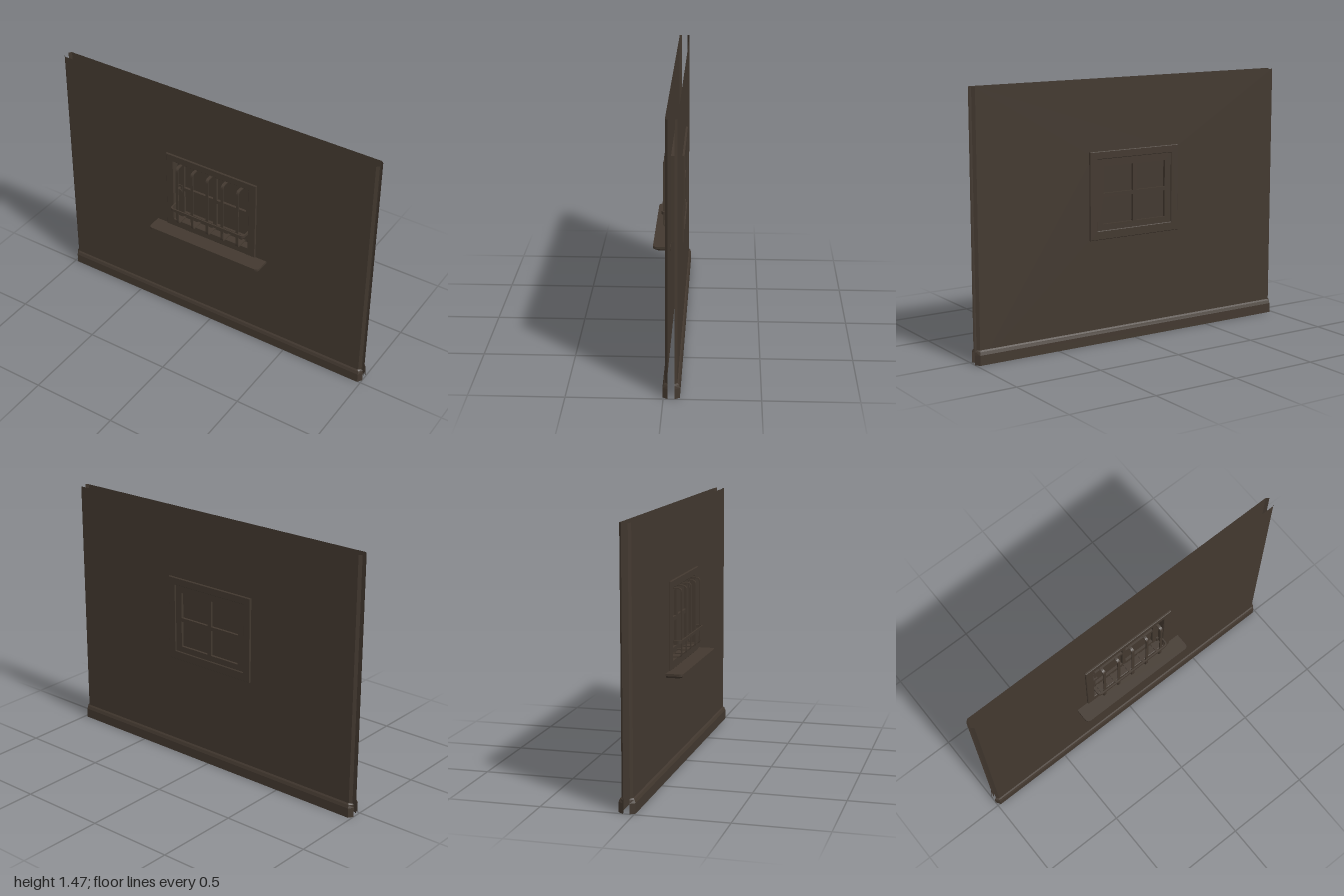
import * as THREE from 'three';
import { ConvexGeometry } from 'three/addons/geometries/ConvexGeometry.js';

const CX = -0.003; // window centre line

// Rectangle path, used for outlines and holes
function rect(x0, y0, x1, y1, Type = THREE.Shape) {
  const p = new Type();
  p.moveTo(x0, y0);
  p.lineTo(x1, y0);
  p.lineTo(x1, y1);
  p.lineTo(x0, y1);
  p.closePath();
  return p;
}

// Skin a stack of open cross-sections (arrays of [x, y, z])
function skin(rows) {
  const pos = [];
  for (let j = 0; j < rows.length - 1; j++) {
    for (let i = 0; i < rows[j].length - 1; i++) {
      const a = rows[j][i], b = rows[j][i + 1], c = rows[j + 1][i + 1], d = rows[j + 1][i];
      pos.push(...a, ...b, ...c, ...a, ...c, ...d);
    }
  }
  const g = new THREE.BufferGeometry();
  g.setAttribute('position', new THREE.Float32BufferAttribute(pos, 3));
  g.computeVertexNormals();
  return g;
}

export function createModel() {
  const model = new THREE.Group();
  const brown = new THREE.MeshStandardMaterial({ color: 0x42382f, side: THREE.DoubleSide });
  brown.name = 'dark brown';

  const add = (name, geometry, parent = model, x = 0, y = 0, z = 0) => {
    const m = new THREE.Mesh(geometry, brown);
    m.name = name;
    m.position.set(x, y, z);
    parent.add(m);
    return m;
  };

  // Open wall skin with chamfered ends and a skirting board
  function wallSide(name) {
    const g = new THREE.Group();
    g.name = name;
    const H = 1.465;
    const face = rect(-0.975, 0, 0.975, H);
    face.holes.push(rect(CX - 0.27, 0.61, CX + 0.27, 1.05, THREE.Path));
    add('wallFace', new THREE.ShapeGeometry(face), g, 0, 0, -0.01);
    for (const s of [-1, 1]) {
      const row = y => {
        const r = [[s * 0.975, y, -0.01], [s * 0.99, y, -0.023]];
        return s > 0 ? r : r.reverse();
      };
      add('wallEdge', skin([row(0), row(H)]), g);
    }
    const section = (y, e, z) => [
      [-e, y, -0.023], [-e + 0.018, y, z], [e - 0.018, y, z], [e, y, -0.023],
    ];
    add('skirting', skin([
      section(0, 1, 0.004), section(0.055, 1, 0.004),
      section(0.072, 0.997, -0.002), section(0.08, 0.991, -0.009),
    ]), g);
    model.add(g);
    return g;
  }
  wallSide('frontWall');
  const back = wallSide('backWall');
  back.scale.z = -1;
  back.position.z = -0.081;

  // Window casing running through both walls
  const casing = rect(CX - 0.291, 0.589, CX + 0.291, 1.072);
  casing.holes.push(rect(CX - 0.249, 0.633, CX + 0.249, 1.035, THREE.Path));
  add('windowCasing', new THREE.ExtrudeGeometry(casing, {
    depth: 0.076, bevelEnabled: true, bevelThickness: 0.003, bevelSize: 0.003, bevelSegments: 1,
  }), model, 0, 0, -0.079);

  // Sash with four panes
  const sash = rect(CX - 0.246, 0.636, CX + 0.246, 1.032);
  for (const s of [-1, 1]) {
    for (const [y0, y1] of [[0.67, 0.82], [0.842, 0.992]]) {
      const xa = CX + s * 0.012, xb = CX + s * 0.205;
      sash.holes.push(rect(Math.min(xa, xb), y0, Math.max(xa, xb), y1, THREE.Path));
    }
  }
  add('sash', new THREE.ExtrudeGeometry(sash, { depth: 0.03, bevelEnabled: false }), model, 0, 0, -0.075);
  add('glass', new THREE.PlaneGeometry(0.42, 0.34), model, CX, 0.831, -0.06);

  // Hinges and handle on the inside of the sash
  for (const y of [0.67, 0.98]) {
    add('hinge', new THREE.CylinderGeometry(0.007, 0.007, 0.04, 10), model, CX + 0.236, y, -0.04);
  }
  add('handlePlate', new THREE.BoxGeometry(0.022, 0.05, 0.006), model, CX - 0.228, 0.832, -0.043);
  add('handleStem', new THREE.BoxGeometry(0.01, 0.01, 0.025), model, CX - 0.228, 0.84, -0.033);
  add('handleGrip', new THREE.BoxGeometry(0.03, 0.012, 0.008), model, CX - 0.222, 0.84, -0.02);

  // Security grille: bent flat bars, drawn as a bracket and extruded to their width
  function bracket(length, reach, thick, width) {
    const s = new THREE.Shape();
    const outline = (h, z, r, first) => {
      const pts = new THREE.Path();
      pts.moveTo(-h, 0);
      pts.lineTo(-h, z - r);
      pts.quadraticCurveTo(-h, z, -h + r, z);
      pts.lineTo(h - r, z);
      pts.quadraticCurveTo(h, z, h, z - r);
      pts.lineTo(h, 0);
      return first ? pts.getPoints(5) : pts.getPoints(5).reverse();
    };
    s.setFromPoints([
      ...outline(length / 2, reach, 0.025, true),
      ...outline(length / 2 - thick, reach - thick, 0.02, false),
    ]);
    const g = new THREE.ExtrudeGeometry(s, { depth: width, bevelEnabled: false });
    g.translate(0, 0, -width / 2);
    g.rotateX(Math.PI / 2); // reach now points to +z
    return g;
  }
  const grille = new THREE.Group();
  grille.name = 'grille';
  model.add(grille);
  for (let i = -2; i <= 2; i++) {
    const bar = bracket(0.386 , 0.082, 0.006, 0.016);
    bar.rotateZ(Math.PI / 2);
    add('uprightBar', bar, grille, CX + i * 0.099, 0.834, -0.045);
  }
  add('crossBar', bracket(0.49, 0.065, 0.008, 0.016), grille, CX, 0.735, -0.02);

  // Sill with rounded front corners and a chamfered underside
  const sillPoints = [];
  for (const [y, inset] of [[0.585, 0], [0.572, 0], [0.56, 0.014]]) {
    const w = 0.365 - inset, f = 0.085 - inset, r = 0.022;
    for (const s of [-1, 1]) {
      sillPoints.push(new THREE.Vector3(CX + s * w, y, -0.012));
      for (let k = 0; k <= 4; k++) {
        const a = (k / 4) * Math.PI / 2;
        sillPoints.push(new THREE.Vector3(
          CX + s * (w - r + r * Math.cos(a)), y, f - r + r * Math.sin(a)));
      }
    }
  }
  add('sill', new ConvexGeometry(sillPoints));

  return model;
}
